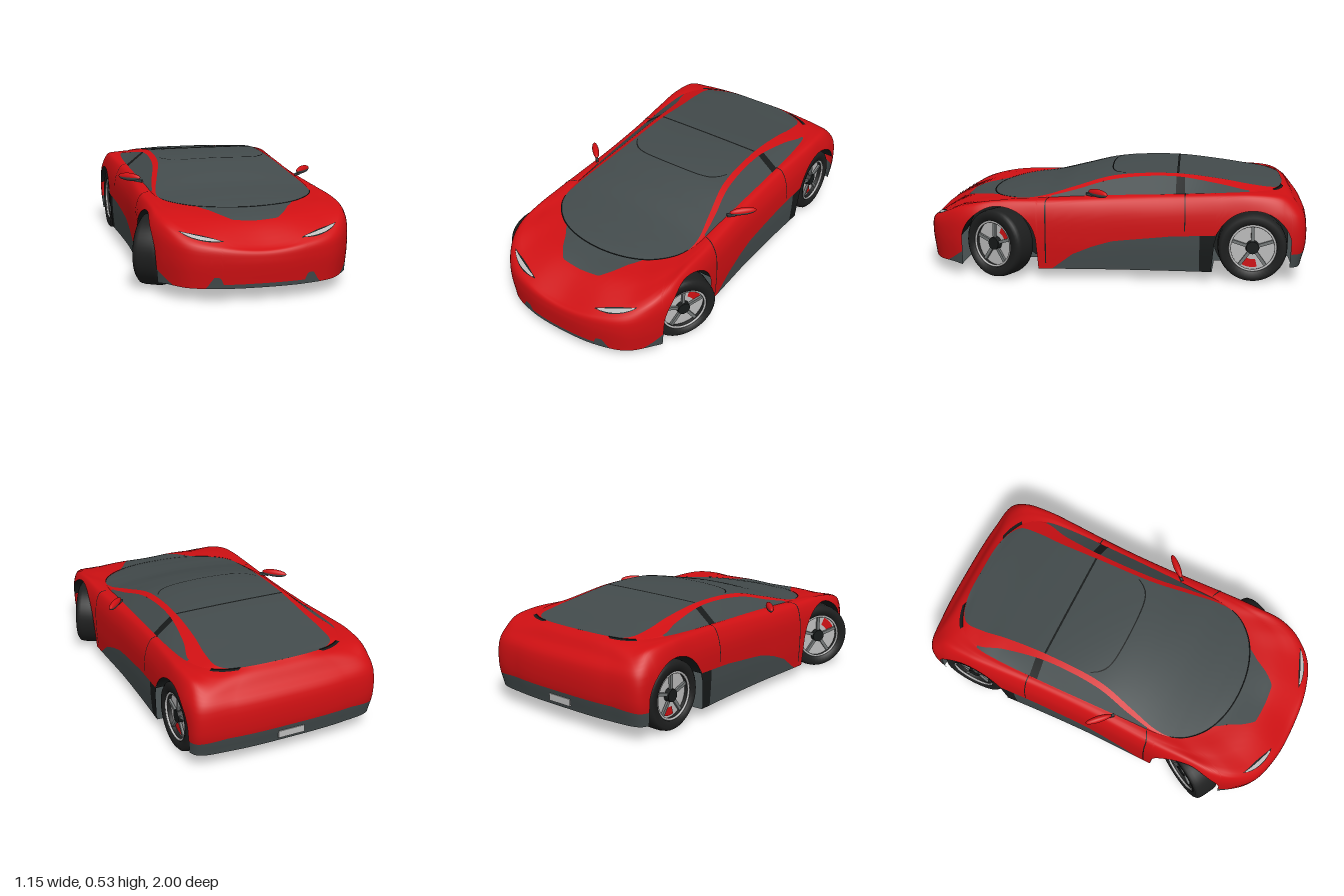
import * as THREE from 'three';

const mat = (name, color, double = true) => {
  const m = new THREE.MeshStandardMaterial({ color });
  m.name = name;
  if (double) m.side = THREE.DoubleSide;
  return m;
};

export function createModel() {
  const car = new THREE.Group();
  car.name = 'sportsCar';
  const red = mat('bodyRed', 0xd01013), dark = mat('darkGlass', 0x434b4c), black = mat('trimBlack', 0x171a1a),
    rubber = mat('tyreRubber', 0x1e1f1f), silver = mat('rimSilver', 0xbcbcbc), grey = mat('spokeGrey', 0x757979);

  const add = (parent, name, geo, m, x = 0, y = 0, z = 0) => {
    const mesh = new THREE.Mesh(geo, m);
    mesh.name = name;
    mesh.position.set(x, y, z);
    parent.add(mesh);
    return mesh;
  };

  // Plan rings: 16 keys from front centre round the left side to rear centre, mirrored into a closed loop
  const LAST = 15;
  const keys = (a) => Array.from({ length: 16 }, (_, i) => new THREE.Vector3(a[3 * i], a[3 * i + 1], a[3 * i + 2]));
  const ring = (k) => {
    const back = k.slice(1, LAST).reverse().map((p) => new THREE.Vector3(-p.x, p.y, p.z));
    const c = new THREE.CatmullRomCurve3([...k, ...back], true);
    return (t) => c.getPoint(t / 30);
  };
  const waistK = keys([0, .2, 1, .2, .2, .985, .36, .2, .93, .45, .2, .83, .495, .2, .72, .503, .2, .58, .5, .2, .4, .495, .2, .2,
    .49, .2, 0, .495, .2, -.3, .505, .2, -.55, .51, .2, -.71, .51, .2, -.86, .48, .2, -.955, .3, .2, -.99, 0, .2, -1]);
  const shoulderK = keys([0, .25, .965, .2, .27, .955, .34, .3, .9, .43, .345, .81, .465, .375, .7, .47, .39, .58, .47, .395, .4, .465, .4, .2,
    .46, .405, 0, .46, .42, -.3, .47, .435, -.55, .475, .44, -.71, .46, .425, -.86, .42, .39, -.925, .27, .385, -.938, 0, .385, -.942]);
  const canopyK = keys([0, .38, .665, .14, .382, .65, .25, .385, .61, .32, .39, .56, .37, .395, .5, .395, .4, .44, .41, .405, .36, .415, .415, .2,
    .42, .425, 0, .425, .435, -.3, .425, .445, -.55, .41, .45, -.69, .36, .45, -.79, .28, .45, -.84, .16, .455, -.87, 0, .455, -.875]);
  const replace = (base, changes) => base.map((p, i) => (changes[i] ? new THREE.Vector3(...changes[i]) : p.clone()));

  const sillK = waistK.map((p, i) => new THREE.Vector3(p.x * .98, i < 4 ? .065 : i < 12 ? .05 : .08,
    p.z * (i < 4 ? .985 : i > 12 ? .975 : 1)));
  const upperK = waistK.map((p, i) => {
    const s = shoulderK[i];
    return new THREE.Vector3(p.x + .2 * (s.x - p.x), p.y + .7 * (s.y - p.y), p.z + .2 * (s.z - p.z));
  });
  const hoodK = shoulderK.map((p, i) => {
    const h = p.clone().lerp(canopyK[i], .5);
    h.y += [.03, .028, .022, .014][i] ?? (i > 12 ? .01 : .005);
    return h;
  });
  const [sill, waist, upper, shoulder, hood, canopy] = [sillK, waistK, upperK, shoulderK, hoodK, canopyK].map(ring);
  const winTop = ring(replace(canopyK, { 6: [.408, .408, .355], 7: [.387, .442, .2], 8: [.345, .493, 0], 9: [.335, .511, -.3], 10: [.365, .478, -.55], 11: [.4, .455, -.69] }));
  const roofEdge = ring(replace(canopyK, { 6: [.395, .415, .35], 7: [.36, .456, .2], 8: [.315, .507, 0], 9: [.303, .521, -.3],
    10: [.308, .496, -.55], 11: [.32, .472, -.7], 12: [.312, .458, -.8], 13: [.265, .451, -.842] }));
  const crown = [.38, .385, .395, .404, .415, .425, .442, .485, .522, .524, .497, .477, .465, .46, .456, .455];
  const spine = ring(canopyK.map((p, i) => new THREE.Vector3(0, crown[i], p.z)));

  // Body skin: v runs 0 sill, 1 waist, 2 upper, 3 shoulder, 4 hood, 5 canopy base
  const ribs = new Map();
  const skin = (t, v) => {
    if (!ribs.has(t)) ribs.set(t, new THREE.CatmullRomCurve3([sill, waist, upper, shoulder, hood, canopy].map((r) => r(t))));
    return ribs.get(t).getPoint(THREE.MathUtils.clamp(v / 5, 0, 1));
  };
  const vAt = (t, y) => {
    let a = 0, b = 3;
    for (let i = 0; i < 18; i++) {
      const m = (a + b) / 2;
      if (skin(t, m).y < y) a = m; else b = m;
    }
    return a < 1e-4 ? 0 : a;
  };
  const normalOf = (f, t, v) => {
    const e = 2e-3;
    return f(t + e, v).sub(f(t - e, v)).cross(f(t, v + e).sub(f(t, v - e))).normalize();
  };
  const raised = (f, d) => (t, v) => f(t, v).addScaledVector(normalOf(f, t, v), d);

  // A patch of surface f between two limits, optionally mirrored to both sides
  const patch = (name, m, f, t0, t1, lo, hi, rows, mirror = true) => {
    const n = Math.max(2, Math.ceil((t1 - t0) * 16)), pos = [], nor = [], idx = [];
    for (let i = 0; i <= n; i++) {
      const t = t0 + (t1 - t0) * i / n, a = lo(t), b = hi(t);
      for (let j = 0; j <= rows; j++) {
        const v = a + (b - a) * j / rows;
        pos.push(...f(t, v).toArray());
        nor.push(...normalOf(f, t, v).toArray());
        if (i < n && j < rows) {
          const p = i * (rows + 1) + j, q = p + rows + 1;
          idx.push(p, q, q + 1, p, q + 1, p + 1);
        }
      }
    }
    for (const s of mirror ? [1, -1] : [1]) {
      const g = new THREE.BufferGeometry();
      const flip = (a) => a.map((c, k) => (k % 3 ? c : c * s));
      g.setAttribute('position', new THREE.Float32BufferAttribute(flip(pos), 3));
      g.setAttribute('normal', new THREE.Float32BufferAttribute(flip(nor), 3));
      g.setIndex(s > 0 ? idx : idx.slice().reverse());
      add(car, mirror ? name + (s > 0 ? 'Left' : 'Right') : name, g, m);
    }
  };
  const k = (c) => () => c;
  const steps = (pts) => (x) => {
    for (let i = 1; i < pts.length; i++) {
      const [a, p] = pts[i - 1], [b, q] = pts[i];
      if (x <= b) return p + (q - p) * Math.max(0, (x - a) / (b - a));
    }
    return pts[pts.length - 1][1];
  };

  // Lower edge with wheel arches, and the dark lower trim line
  const axles = [.58, -.71], WY = .175, ARCH = .195;
  const lowEdge = (t) => {
    const z = waist(t).z, y = sill(t).y;
    const d = Math.min(...axles.map((a) => Math.abs(z - a)));
    return d < ARCH ? WY + Math.sqrt(ARCH * ARCH - d * d) : y;
  };
  const trimLine = steps([[0, .085], [1, .085], [1.08, .12], [1.25, .12], [1.5, .06], [2.5, .06], [3.6, .135], [4, .135], [4.3, 0], [6.4, .04],
    [7, .13], [7.5, .17], [8, .2], [9, .232], [9.9, .242], [10.3, .242], [10.6, 0], [12, .15], [13, .15], [13.8, .165], [15, .165]]);
  const vLow = (t) => vAt(t, lowEdge(t));
  const vTrim = (t) => vAt(t, Math.max(lowEdge(t), trimLine(t)));
  const panelEdge = steps([[0, 4], [.65, 4.03], [1.4, 4.7], [1.95, 5]]);

  patch('bodyShell', red, skin, 0, LAST, vTrim, panelEdge, 18);
  patch('hoodPanel', dark, skin, 0, 1.95, panelEdge, k(5), 5);
  patch('frontLowerTrim', dark, skin, 0, 4, vLow, vTrim, 3);
  patch('sillPanel', dark, skin, 6.2, 9.55, vLow, vTrim, 5);
  patch('sideInlet', black, skin, 9.55, 10.4, vLow, vTrim, 5);
  patch('rearBumper', dark, skin, 12, LAST, vLow, vTrim, 4);

  // Canopy: continuous glass, rails and side windows
  const glass = (t, u) => {
    const e = roofEdge(t), c = spine(t).y;
    return new THREE.Vector3(-u * e.x, c + (e.y - c) * u * u, e.z);
  };
  const between = (a, b) => (t, v) => a(t).lerp(b(t), v);
  const side = between(canopy, winTop);
  patch('canopyGlass', dark, glass, 0, LAST, k(-1), k(1), 16, false);
  patch('roofRail', red, between(winTop, roofEdge), 4, 14, k(0), k(1), 3);
  patch('frontPillar', red, side, 4, 6.3, k(0), k(1), 2);
  patch('sideWindow', dark, side, 6.3, 9.08, k(0), k(1), 4);
  patch('windowDivider', black, side, 9.08, 9.25, k(0), k(1), 2);
  patch('quarterWindow', dark, side, 9.25, 11, k(0), k(1), 4);
  patch('rearPillar', red, side, 11, 14, k(0), k(1), 2);

  // Thin panel seams, deck slots and headlights
  const glassTop = raised(glass, .002), skinTop = raised(skin, .002), skinOver = raised(skin, .004);
  patch('roofSeam', black, glassTop, 9.09, 9.13, k(-1), k(1), 16, false);
  const bowed = (t, u) => glassTop(t - .35 * Math.pow(Math.abs(u), 6) * -1 - .1 * (1 - u * u), u);
  patch('windscreenSeam', black, bowed, 7.98, 8.01, k(-.95), k(.95), 24, false);
  patch('doorFrontSeam', black, skinTop, 6.3, 6.33, (t) => vAt(t, .08), k(4.8), 16);
  patch('doorRearSeam', black, skinTop, 9.25, 9.27, (t) => vAt(t, .26), k(5), 14);
  patch('screenBaseSeam', black, skinTop, 0, 5, k(4.96), k(5), 1);
  patch('deckSlot', black, skinTop, 12.3, 13.6, k(4.72), k(5), 2);
  const lampMid = steps([[1, 3.16], [2.4, 3.06]]);
  const lampHalf = (t, h) => h * Math.sin(Math.PI * Math.min(1, Math.max(0, (t - .95) / 1.5))) + .01;
  patch('headlightFrame', black, skinTop, .95, 2.45, (t) => lampMid(t) - lampHalf(t, .13), (t) => lampMid(t) + lampHalf(t, .13), 3);
  patch('headlight', silver, skinOver, 1.05, 2.35, (t) => lampMid(t) - lampHalf(t, .07), (t) => lampMid(t) + lampHalf(t, .07), 2);
  add(car, 'rearPlate', new THREE.BoxGeometry(.14, .036, .008), silver, 0, .122, -.99);

  // Floor, narrowed between the wheels
  const floor = (t, u) => {
    const p = sill(t);
    const inWell = axles.some((a) => Math.abs(p.z - a) < ARCH);
    return new THREE.Vector3(u * (inWell ? .27 : p.x), p.y, p.z);
  };
  patch('floor', dark, floor, 0, LAST, k(-1), k(1), 2, false);

  // Wheel wells
  const well = (t, u) => {
    const p = skin(t, vLow(t));
    return new THREE.Vector3(THREE.MathUtils.lerp(p.x, .27, u), p.y, p.z);
  };
  patch('frontWell', black, well, 3.56, 6.02, k(0), k(1), 1);
  patch('rearWell', black, well, 9.9, 12.3, k(0), k(1), 1);

  const tyreProfile = [[.112, -.065], [.158, -.066], [.171, -.055], [.175, -.035], [.175, .035], [.171, .055], [.158, .066], [.122, .064], [.116, .03]]
    .map(([r, y]) => new THREE.Vector2(r, y));
  const makeWheel = (caliperAngle) => {
    const w = new THREE.Group();
    add(w, 'tyre', new THREE.LatheGeometry(tyreProfile, 48).rotateZ(-Math.PI / 2), rubber);
    add(w, 'rimDisc', new THREE.CircleGeometry(.118, 40).rotateY(Math.PI / 2), silver, .03);
    add(w, 'innerDisc', new THREE.CircleGeometry(.114, 32).rotateY(-Math.PI / 2), grey, -.05);
    add(w, 'rimLip', new THREE.TorusGeometry(.115, .006, 8, 40).rotateY(Math.PI / 2), silver, .056);
    add(w, 'caliper', new THREE.RingGeometry(.062, .104, 10, 1, caliperAngle - .4, .8).rotateY(Math.PI / 2), red, .034);
    for (let i = 0; i < 5; i++) {
      const spoke = new THREE.BoxGeometry(.012, .085, .016).translate(0, .068, 0).rotateX(i * Math.PI * .4);
      add(w, 'spoke', spoke, i % 5 < 5 ? grey : silver, .042);
    }
    add(w, 'hub', new THREE.CylinderGeometry(.032, .036, .025, 20).rotateZ(-Math.PI / 2), black, .042);
    return w;
  };

  for (const s of [1, -1]) {
    const turn = s > 0 ? 0 : Math.PI, label = s > 0 ? 'Left' : 'Right';
    axles.forEach((z, i) => {
      const disc = new THREE.CircleGeometry(ARCH, 32, -.6, Math.PI + 1.2).rotateY(Math.PI / 2);
      add(car, 'wellWall' + label, disc, black, s * .27, WY, z);
      // Front wheels are steered
      const w = makeWheel(i ? 4.55 : .75);
      w.name = (i ? 'rearWheel' : 'frontWheel') + label;
      w.position.set(s * (i ? .425 : .437), WY, z);
      w.rotation.y = turn + (i ? 0 : -Math.PI / 6);
      car.add(w);
    });

    // Door mirror: red shell over a dark base and stalk
    const mirror = new THREE.Group();
    mirror.name = 'mirror' + label;
    mirror.position.set(s * .482, .444, .07);
    mirror.rotation.y = s * .8;
    const half = Math.PI / 2;
    add(mirror, 'mirrorShell', new THREE.SphereGeometry(1, 20, 8, 0, Math.PI * 2, 0, half).scale(.072, .022, .018), red);
    add(mirror, 'mirrorBase', new THREE.SphereGeometry(1, 20, 8, 0, Math.PI * 2, half, half).scale(.07, .02, .017), dark);
    add(mirror, 'mirrorStalk', new THREE.BoxGeometry(.05, .012, .014), dark, -s * .06, -.014, 0);
    car.add(mirror);
  }
  return car;
}
